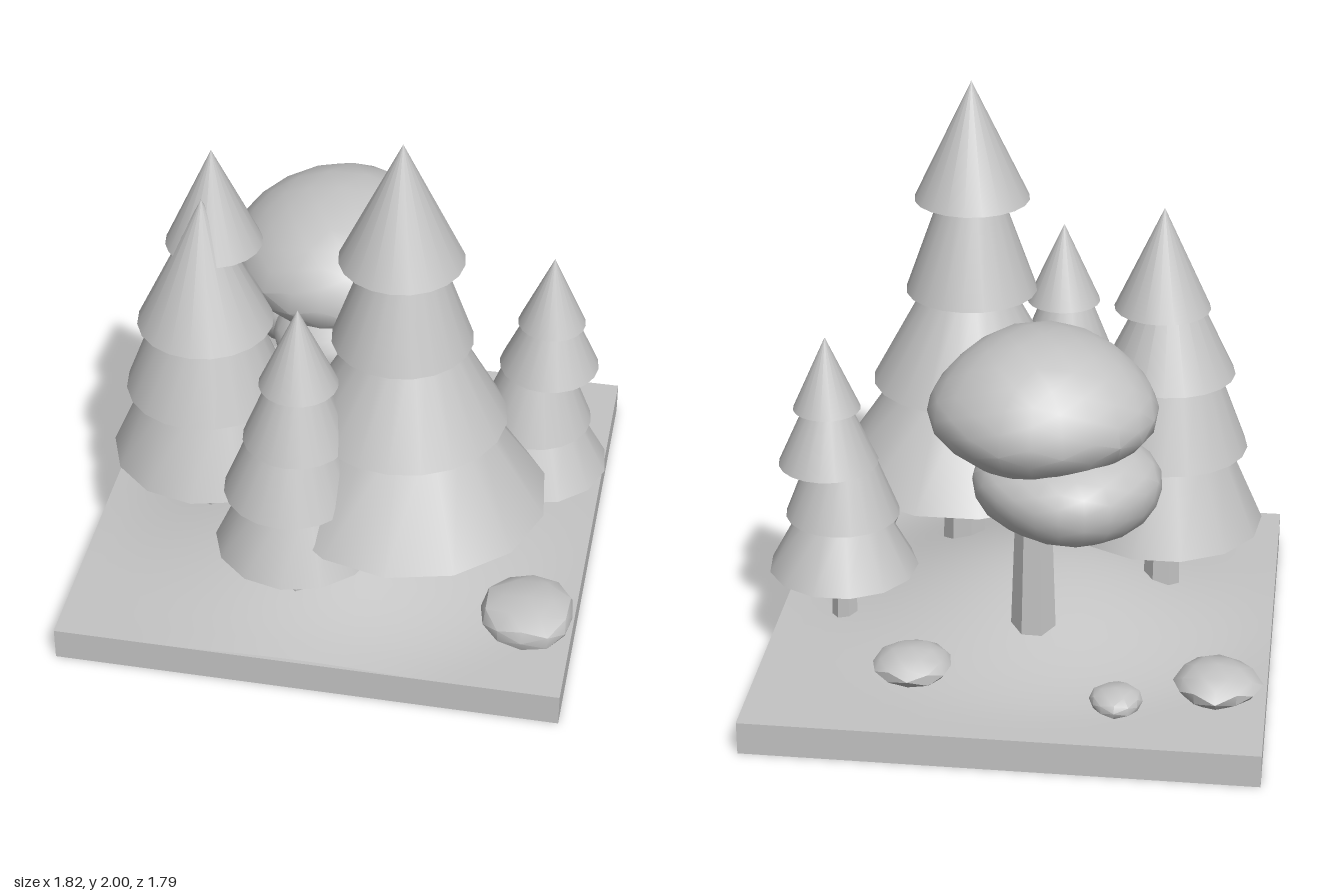
import * as THREE from 'three';
import { mergeVertices, toCreasedNormals } from 'three/addons/utils/BufferGeometryUtils.js';

const grey = new THREE.MeshStandardMaterial({ color: 0xc4c4c4 });
grey.name = 'plain grey';

function add(parent, name, geometry, x = 0, y = 0, z = 0) {
  const mesh = new THREE.Mesh(geometry, grey);
  mesh.name = name;
  mesh.position.set(x, y, z);
  parent.add(mesh);
  return mesh;
}

// Height of the gentle hill on the slab
function hillHeight(x, z) {
  const r = Math.min(Math.hypot(x + 0.04, z - 0.12) / 0.92, 1);
  return 0.122 + 0.19 * Math.cos(r * Math.PI / 2) ** 2;
}

function hillGeometry() {
  const geo = new THREE.PlaneGeometry(1.79, 1.79, 24, 24).rotateX(-Math.PI / 2).translate(-0.015, 0, -0.005);
  const p = geo.attributes.position;
  for (let i = 0; i < p.count; i++) p.setY(i, hillHeight(p.getX(i), p.getZ(i)));
  geo.computeVertexNormals();
  return geo;
}

// Rounded lump: a sphere pushed in and out by a few waves, some edges kept sharp
function lumpGeometry(rx, ry, rz, detail, bump, seed) {
  let geo = new THREE.IcosahedronGeometry(1, detail);
  geo.deleteAttribute('normal');
  geo.deleteAttribute('uv');
  geo = mergeVertices(geo, 1e-3);
  const p = geo.attributes.position;
  for (let i = 0; i < p.count; i++) {
    const x = p.getX(i), y = p.getY(i), z = p.getZ(i);
    const k = 1 + bump * (Math.sin(4 * x + seed) + Math.sin(5 * y + 2 * seed) + Math.sin(4.5 * z + 3 * seed)) / 2;
    p.setXYZ(i, x * k * rx, y * k * ry, z * k * rz);
  }
  return toCreasedNormals(geo, 0.65);
}

function trunk(parent, x, z, rBottom, rTop, top) {
  const bottom = hillHeight(x, z) - 0.1;
  add(parent, 'trunk', new THREE.CylinderGeometry(rTop, rBottom, top - bottom, 7).toNonIndexed(), x, (top + bottom) / 2, z)
    .geometry.computeVertexNormals();
}

// Conifer: tiers run from the top down as [x, z, base height, base radius, top height, top radius]
function conifer(parent, name, trunkSpec, tiers) {
  const tree = new THREE.Group();
  tree.name = name;
  parent.add(tree);
  const [x, z, rb, rt] = trunkSpec;
  const lowest = tiers[tiers.length - 1];
  trunk(tree, x, z, rb, rt, lowest[2] + 0.06);
  tiers.forEach(([tx, tz, y, r, top, rTop], i) => {
    const sides = i === tiers.length - 1 ? 13 : 20;
    const geo = new THREE.CylinderGeometry(rTop, r, top - y, sides, 1);
    add(tree, 'foliageTier', geo, tx, (y + top) / 2, tz);
  });
}

export function createModel() {
  const model = new THREE.Group();
  model.name = 'forestScene';

  // Ground
  add(model, 'groundSlab', new THREE.BoxGeometry(1.79, 0.12, 1.79), -0.015, 0.06, -0.005);
  add(model, 'hill', hillGeometry());

  // Conifers
  conifer(model, 'tallConifer', [0.268, 0.38, 0.085, 0.065], [
    [0.24, 0.447, 1.56, 0.21, 2.0, 0],
    [0.24, 0.415, 1.22, 0.24, 1.6, 0.105],
    [0.25, 0.385, 0.88, 0.35, 1.26, 0.145],
    [0.265, 0.375, 0.535, 0.485, 0.92, 0.225],
  ]);
  conifer(model, 'leftConifer', [-0.495, 0.155, 0.07, 0.058], [
    [-0.48, 0.103, 1.31, 0.17, 1.68, 0],
    [-0.5, 0.185, 1.03, 0.24, 1.53, 0],
    [-0.505, 0.175, 0.75, 0.287, 1.07, 0.165],
    [-0.495, 0.157, 0.46, 0.36, 0.79, 0.215],
  ]);
  conifer(model, 'frontConifer', [-0.097, 0.56, 0.06, 0.05], [
    [-0.08, 0.597, 1.115, 0.135, 1.415, 0],
    [-0.09, 0.59, 0.885, 0.185, 1.15, 0.08],
    [-0.115, 0.57, 0.645, 0.235, 0.92, 0.125],
    [-0.1, 0.56, 0.41, 0.287, 0.68, 0.165],
  ]);
  conifer(model, 'rightConifer', [0.64, -0.12, 0.05, 0.042], [
    [0.685, -0.122, 0.96, 0.12, 1.23, 0],
    [0.68, -0.145, 0.76, 0.178, 0.99, 0.075],
    [0.64, -0.11, 0.545, 0.205, 0.79, 0.11],
    [0.64, -0.123, 0.34, 0.27, 0.58, 0.14],
  ]);

  // Broadleaf tree
  const broadleaf = new THREE.Group();
  broadleaf.name = 'broadleafTree';
  model.add(broadleaf);
  trunk(broadleaf, -0.07, -0.27, 0.085, 0.06, 0.85);
  add(broadleaf, 'upperCrown', lumpGeometry(0.4, 0.245, 0.39, 3, 0.05, 1.2), -0.1, 1.09, -0.26);
  add(broadleaf, 'rearCrown', lumpGeometry(0.33, 0.175, 0.32, 3, 0.05, 2.6), -0.2, 0.835, -0.37);
  add(broadleaf, 'frontCrown', lumpGeometry(0.25, 0.15, 0.23, 3, 0.05, 4.1), -0.04, 0.9, -0.03);

  // Rocks: [x, y, z, rx, ry, rz]
  [
    [-0.74, 0.185, -0.54, 0.15, 0.07, 0.155],
    [-0.4, 0.165, -0.665, 0.096, 0.045, 0.096],
    [0.325, 0.19, -0.545, 0.135, 0.065, 0.132],
    [0.72, 0.19, 0.555, 0.17, 0.075, 0.175],
  ].forEach(([x, y, z, rx, ry, rz], i) =>
    add(model, 'rock', lumpGeometry(rx, ry, rz, 1, 0.06, i * 1.7 + 0.5), x, y, z));

  return model;
}
